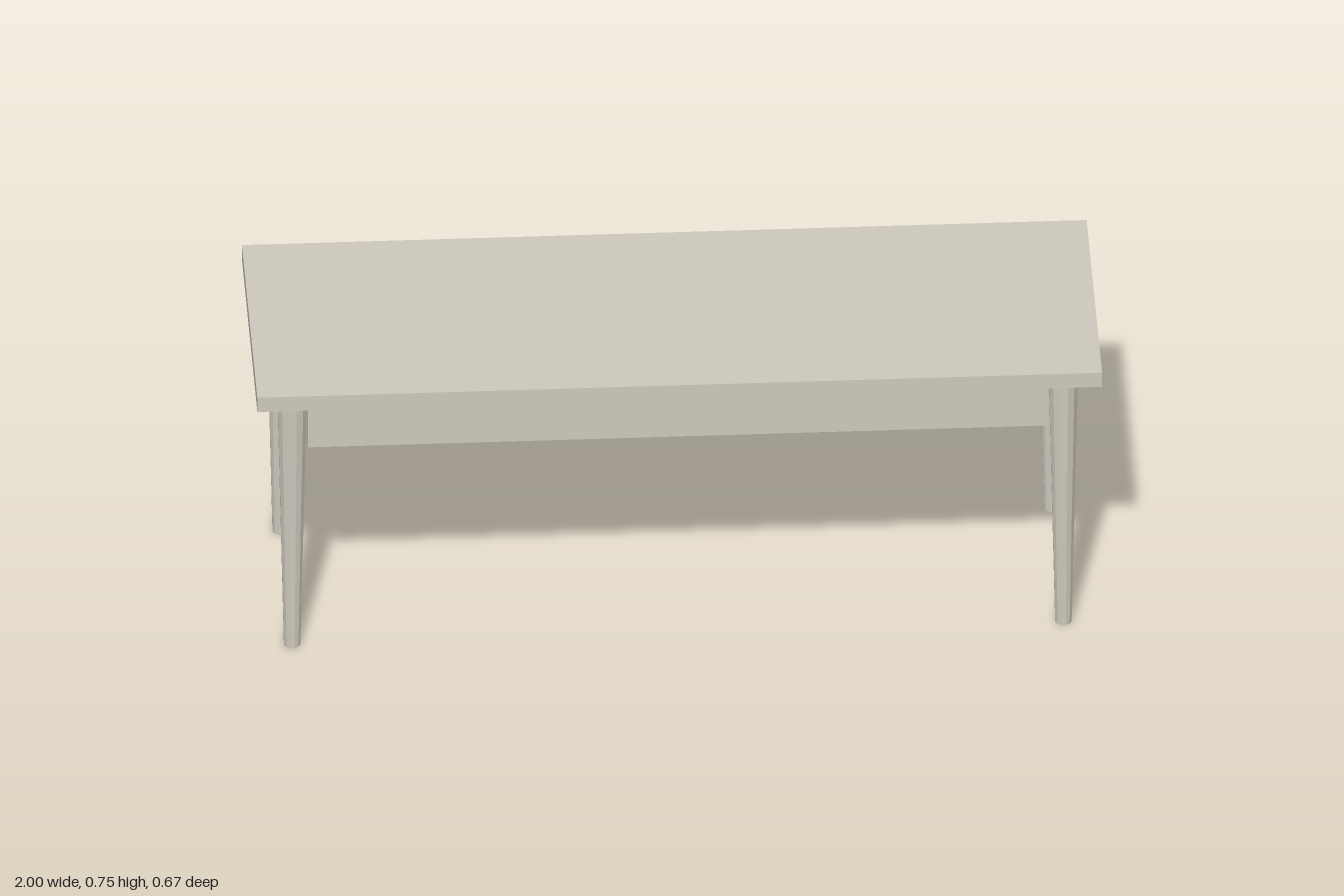
import * as THREE from 'three';

const TOP = { w: 2, h: 0.04, d: 0.667, y: 0.73 };
const LEG = { x: 0.913, z: 0.247, h: 0.71, rTop: 0.036, rFoot: 0.02 };
const APRON = { h: 0.15, t: 0.03, y: 0.635 };

export function createModel() {
  const group = new THREE.Group();
  group.name = 'table';

  const paint = new THREE.MeshStandardMaterial({ color: 0xcdc9bd });
  paint.name = 'warm grey paint';

  const add = (name, geometry, x, y, z) => {
    const mesh = new THREE.Mesh(geometry, paint);
    mesh.name = name;
    mesh.position.set(x, y, z);
    group.add(mesh);
  };

  // Table top
  add('tableTop', new THREE.BoxGeometry(TOP.w, TOP.h, TOP.d), 0, TOP.y, 0);

  // Tapered, faceted leg; toNonIndexed gives each facet its own flat normal
  const legGeometry = new THREE.CylinderGeometry(LEG.rTop, LEG.rFoot, LEG.h, 12)
    .rotateY(Math.PI / 12)
    .toNonIndexed();
  legGeometry.computeVertexNormals();

  // Aprons run between the legs, centred on the leg axes
  const longApron = new THREE.BoxGeometry(1.752, APRON.h, APRON.t);
  const endApron = new THREE.BoxGeometry(APRON.t, APRON.h, 0.416);

  for (const s of [1, -1]) {
    const end = s > 0 ? 'front' : 'back';
    const side = s > 0 ? 'left' : 'right';
    add(`${end}Apron`, longApron, 0, APRON.y, s * LEG.z);
    add(`${side}Apron`, endApron, s * LEG.x, APRON.y, 0);
    add(`${end}LeftLeg`, legGeometry, LEG.x, LEG.h / 2, s * LEG.z);
    add(`${end}RightLeg`, legGeometry, -LEG.x, LEG.h / 2, s * LEG.z);
  }

  return group;
}
